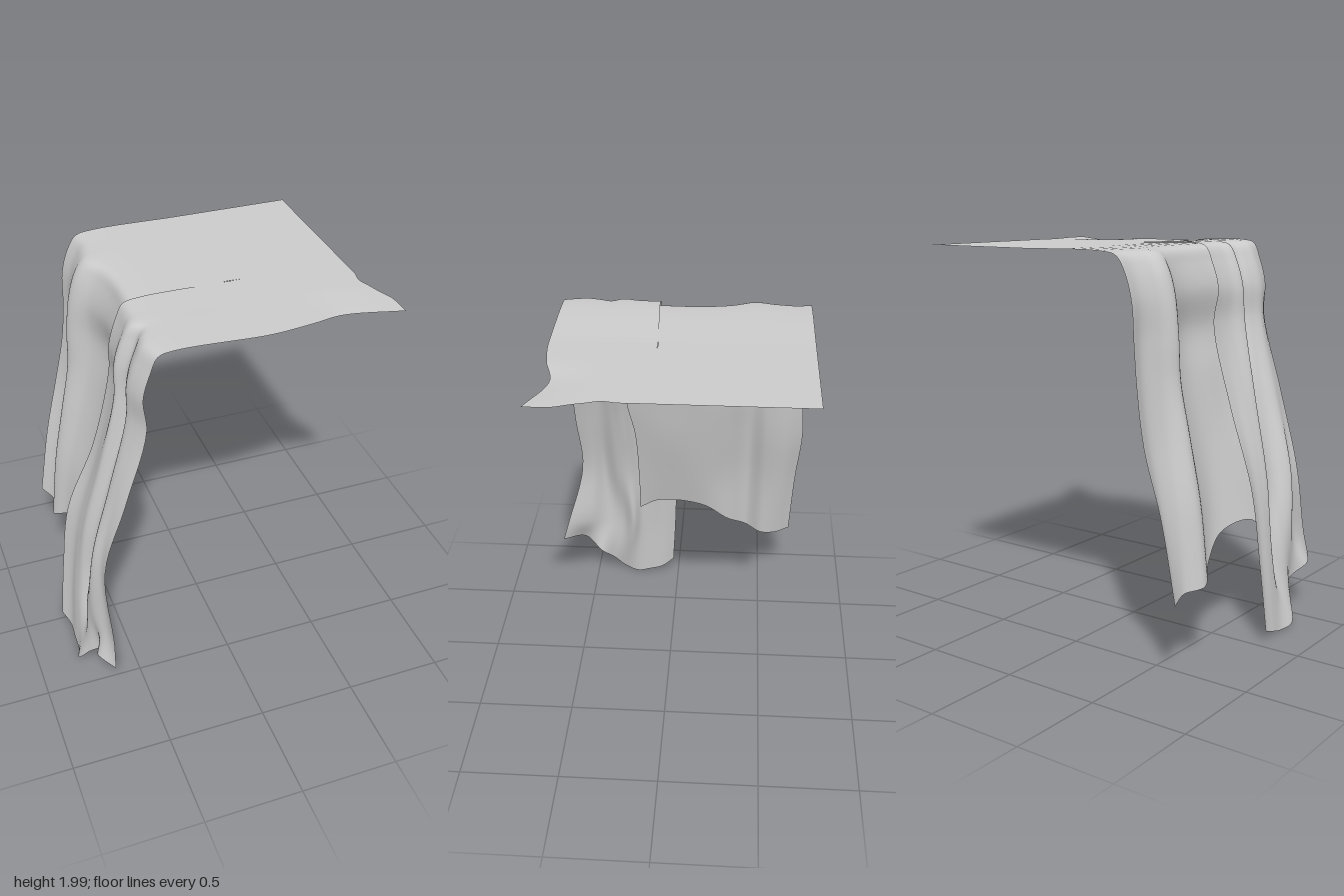
import * as THREE from 'three';

const V = (x, y, z) => new THREE.Vector3(x, y, z);

// Row of control points; x and y may each be a number or a list
function row(x, y, z) {
  const at = (v, i) => (Array.isArray(v) ? v[i] : v);
  return z.map((zi, i) => V(at(x, i), at(y, i), zi));
}

// n evenly spaced values from a to b
const spread = (a, b, n) => Array.from({ length: n }, (_, i) => a + ((b - a) * i) / (n - 1));

// Smooth sheet through rows of control points
function cloth(name, rows, nu, nv) {
  const across = rows.map((r) => new THREE.CatmullRomCurve3(r));
  const pos = [], index = [];
  for (let i = 0; i <= nu; i++) {
    const down = new THREE.CatmullRomCurve3(across.map((c) => c.getPoint(i / nu)));
    for (let j = 0; j <= nv; j++) {
      const p = down.getPoint(j / nv);
      pos.push(p.x, Math.max(0, p.y), p.z);
      if (i < nu && j < nv) {
        const a = i * (nv + 1) + j, b = a + nv + 1;
        index.push(a, a + 1, b, a + 1, b + 1, b);
      }
    }
  }
  const geo = new THREE.BufferGeometry();
  geo.setAttribute('position', new THREE.Float32BufferAttribute(pos, 3));
  geo.setIndex(index);
  geo.computeVertexNormals();
  const mesh = new THREE.Mesh(geo, new THREE.MeshStandardMaterial({ color: 0xcccccc, side: THREE.DoubleSide }));
  mesh.name = name;
  return mesh;
}

// Rows that bend the flat top over the edge into the first hanging row
function shoulder(x, z, topY) {
  return [
    row(x.map((v) => -0.31 + 0.3 * (v + 0.46)), topY, z),
    row(x.map((v) => -0.385 + 0.5 * (v + 0.46)), topY - 0.017, z),
    row(x.map((v) => 0.65 * v - 0.125), 1.9, z),
    row(x.map((v) => 0.7 * v - 0.14), 1.77, z),
  ];
}

export function createModel() {
  const group = new THREE.Group();
  group.name = 'drapedCloth';

  // Back panel: flat top, then the shorter hanging flap
  const backTop = spread(-0.69, 0.05, 8);
  const zb = [-0.69, -0.6, -0.5, -0.41, -0.29, -0.15, 0.05];
  const backFold = [-0.5, -0.48, -0.51, -0.55, -0.45, -0.4, -0.4, -0.42];
  group.add(cloth('backPanel', [
    ...[0.74, 0.53, 0.36, 0.2, 0.11].map((x) => row(x, 1.98, backTop)),
    ...shoulder(backFold, [...zb, 0.19], 1.981),
    row(backFold, 1.58, [-0.685, ...zb.slice(1), 0.24]),
    row([-0.52, -0.495, -0.52, -0.56, -0.48, -0.44, -0.445, -0.455], 1.38, [...zb, 0.27]),
    row([-0.57, -0.53, -0.55, -0.61, -0.54, -0.5, -0.5, -0.52], 1.12, [-0.705, ...zb.slice(1), 0.23]),
    row([-0.65, -0.6, -0.61, -0.67, -0.615, -0.58, -0.59, -0.6], 0.8, [-0.685, ...zb.slice(1), 0.22]),
    row([-0.72, -0.68, -0.66, -0.715, -0.66, -0.63, -0.645, -0.66],
      [0.4, 0.39, 0.4, 0.42, 0.49, 0.6, 0.615, 0.55],
      [-0.67, -0.59, -0.5, -0.41, -0.3, -0.15, 0.1, 0.22]),
  ], 56, 84));

  // Front panel: top with a flared corner, then the longer flap overlapping the back one
  const zf = [0.07, 0.12, 0.19, 0.26, 0.32, 0.38, 0.44, 0.5, 0.56];
  const frontFold = [-0.46, -0.46, -0.47, -0.5, -0.435, -0.47, -0.495, -0.475, -0.44];
  group.add(cloth('frontPanel', [
    row([0.74, 0.74, 0.74, 0.73, 0.75, 0.77, 0.795, 0.8, 0.8], 1.98, spread(0.05, 0.58, 9)),
    row(0.53, [1.98, 1.98, 1.98, 1.98, 1.98, 1.978, 1.975, 1.972, 1.968], spread(0.05, 0.5, 9)),
    row(0.36, 1.98, spread(0.05, 0.54, 9)),
    row(0.2, 1.98, spread(0.05, 0.56, 9)),
    row(0.11, 1.98, spread(0.05, 0.563, 9)),
    ...shoulder(frontFold, zf, 1.992),
    row(frontFold, 1.6, [0.035, 0.11, 0.19, 0.27, 0.32, 0.38, 0.44, 0.5, 0.57]),
    row([-0.56, -0.56, -0.575, -0.585, -0.54, -0.555, -0.595, -0.58, -0.555], 1.2,
      [0.04, 0.11, 0.18, 0.25, 0.3, 0.36, 0.43, 0.5, 0.57]),
    row([-0.71, -0.68, -0.68, -0.68, -0.64, -0.645, -0.7, -0.67, -0.67], 0.8,
      [0.01, 0.09, 0.16, 0.22, 0.28, 0.35, 0.43, 0.49, 0.56]),
    row([-0.765, -0.735, -0.735, -0.72, -0.67, -0.72, -0.72, -0.68, -0.67], 0.42,
      [0.015, 0.09, 0.16, 0.22, 0.265, 0.33, 0.42, 0.53, 0.66]),
    row([-0.8, -0.77, -0.77, -0.77, -0.79, -0.74, -0.69, -0.74, -0.68],
      [0.08, 0.04, 0.015, 0, 0.02, 0.12, 0.2, 0.27, 0.28],
      [0.03, 0.1, 0.18, 0.25, 0.33, 0.4, 0.47, 0.57, 0.7]),
  ], 56, 84));

  return group;
}
